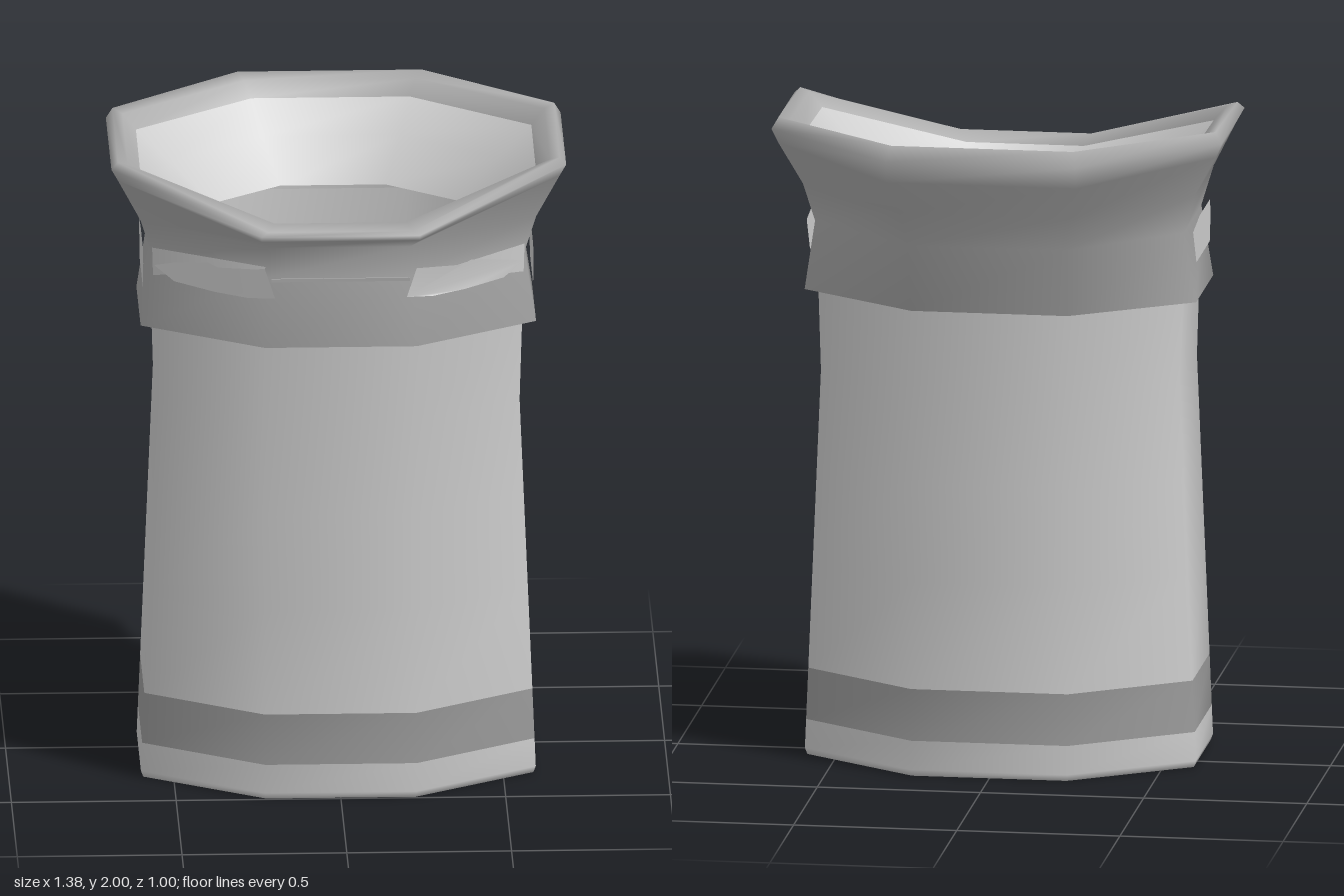
import * as THREE from 'three';

const grey = (color = 0xcccccc) => new THREE.MeshStandardMaterial({ color, side: THREE.DoubleSide });

// Uneven octagon: front and back flats, two upright sides, one height per corner pair
function ring({ front, side, back, y }) {
  const [fx, fz] = front, [sx, sf, sb] = side, [bx, bz] = back;
  const [y0, y1, y2, y3] = Array.isArray(y) ? y : [y, y, y, y];
  const half = [[fx, y0, fz], [sx, y1, sf], [sx, y2, sb], [bx, y3, bz]];
  return [...half, ...half.map(([x, h, z]) => [-x, h, z]).reverse()];
}

// Smooth skin over a run of rings
function loft(name, rings, material) {
  const n = 8, index = [];
  for (let r = 0; r < rings.length - 1; r++) {
    for (let i = 0; i < n; i++) {
      const a = r * n + i, b = r * n + (i + 1) % n;
      index.push(a, b, b + n, a, b + n, a + n);
    }
  }
  const geometry = new THREE.BufferGeometry();
  geometry.setAttribute('position', new THREE.Float32BufferAttribute(rings.flat(2), 3));
  geometry.setIndex(index);
  geometry.computeVertexNormals();
  const mesh = new THREE.Mesh(geometry, material);
  mesh.name = name;
  return mesh;
}

// Section of the tapered sleeve, optionally inset for the inner wall
function sleeveRing(y, inset = 0) {
  const t = Math.min(y / 1.2, 1);
  const w = 0.6 - 0.05 * t + (y > 1.2 ? 0.03 * (y - 1.2) : 0) - inset;
  const f = 0.5 - 0.03 * t - inset, b = -0.32 + 0.035 * t + inset;
  return ring({
    front: [0.23 - inset * 0.4, f], side: [w, 0.28 - inset * 0.4, -0.08 + inset * 0.4],
    back: [0.24 - inset * 0.4, b], y,
  });
}

// Flat patch whose outline is carried onto the cuff by a mapping
function patch(name, outline, map) {
  const geometry = new THREE.ShapeGeometry(new THREE.Shape(outline.map(p => new THREE.Vector2(...p))));
  const p = geometry.attributes.position;
  for (let i = 0; i < p.count; i++) p.setXYZ(i, ...map(p.getX(i), p.getY(i)));
  geometry.computeVertexNormals();
  const mesh = new THREE.Mesh(geometry, grey());
  mesh.name = name;
  return mesh;
}

export function createModel() {
  const group = new THREE.Group();
  group.name = 'sleeve';

  // Sleeve: inner wall, rounded hem, dark stripe and main tube
  group.add(loft('innerWall', [1.7, 1.2, 0.6, 0.04].map(y => sleeveRing(y, 0.04)), grey()));
  group.add(loft('hem', [
    sleeveRing(0.04, 0.04), sleeveRing(0.005, 0.03), sleeveRing(0, 0.008),
    sleeveRing(0.02), sleeveRing(0.11),
  ], grey()));
  group.add(loft('stripe', [sleeveRing(0.11), sleeveRing(0.27)], grey(0x999999)));
  group.add(loft('sleeveTube', [0.27, 0.6, 0.9, 1.2, 1.45, 1.7].map(y => sleeveRing(y)), grey()));

  // Flared cuff, dipping at the front
  const cuff = [
    { front: [0.22, 0.465], side: [0.56, 0.26, -0.07], back: [0.23, -0.28], y: 1.455 },
    { front: [0.23, 0.5], side: [0.6, 0.28, -0.08], back: [0.24, -0.315], y: 1.45 },
    { front: [0.22, 0.48], side: [0.565, 0.27, -0.1], back: [0.24, -0.385], y: 1.67 },
    { front: [0.21, 0.47], side: [0.6, 0.29, -0.12], back: [0.26, -0.425], y: [1.76, 1.79, 1.79, 1.78] },
    { front: [0.24, 0.5], side: [0.67, 0.32, -0.15], back: [0.29, -0.49], y: [1.79, 1.93, 1.92, 1.89] },
    { front: [0.24, 0.5], side: [0.69, 0.32, -0.16], back: [0.29, -0.5], y: [1.805, 1.965, 1.965, 1.955] },
    { front: [0.22, 0.485], side: [0.67, 0.31, -0.15], back: [0.28, -0.47], y: [1.815, 1.985, 2, 2] },
    { front: [0.2, 0.46], side: [0.64, 0.3, -0.14], back: [0.26, -0.43], y: [1.835, 1.975, 1.985, 1.985] },
    { front: [0.18, 0.44], side: [0.6, 0.29, -0.12], back: [0.24, -0.395], y: [1.8, 1.93, 1.94, 1.94] },
  ].map(ring);
  group.add(loft('cuff', cuff, grey(0xaaaaaa)));

  // Lining funnels down from the rim to a narrow opening
  group.add(loft('lining', [
    cuff[cuff.length - 1],
    ring({ front: [0.17, 0.41], side: [0.5, 0.25, -0.08], back: [0.21, -0.3], y: [1.77, 1.84, 1.85, 1.85] }),
    ring({ front: [0.16, 0.37], side: [0.37, 0.21, -0.035], back: [0.16, -0.19], y: 1.73 }),
  ], grey()));

  // Pale patches around the cuff, mirrored left and right
  const corner = [[0.2, 1.61], [0.28, 1.6], [0.38, 1.6], [0.5, 1.61], [0.56, 1.65],
    [0.5, 1.67], [0.4, 1.69], [0.37, 1.68], [0.23, 1.7]];
  const flank = [[-0.28, 1.65], [-0.26, 1.56], [0.02, 1.56], [0.09, 1.67], [-0.05, 1.69], [-0.26, 1.69]];
  for (const [side, s] of [['left', 1], ['right', -1]]) {
    const signed = pts => s > 0 ? pts : pts.map(([u, v]) => [-u, v]);
    group.add(patch(side + 'FrontPatch', signed(corner),
      (x, y) => [x, y, 0.505 - Math.max(0, Math.abs(x) - 0.22) * 0.61]));
    group.add(patch(side + 'SidePatch', signed(flank), (u, y) => [s * 0.592, y, -s * u]));
  }

  // Narrow seam joining the two front patches
  const seam = new THREE.Mesh(new THREE.BoxGeometry(0.42, 0.01, 0.02), grey(0xaaaaaa));
  seam.name = 'frontSeam';
  seam.position.set(0, 1.66, 0.475);
  group.add(seam);

  return group;
}
